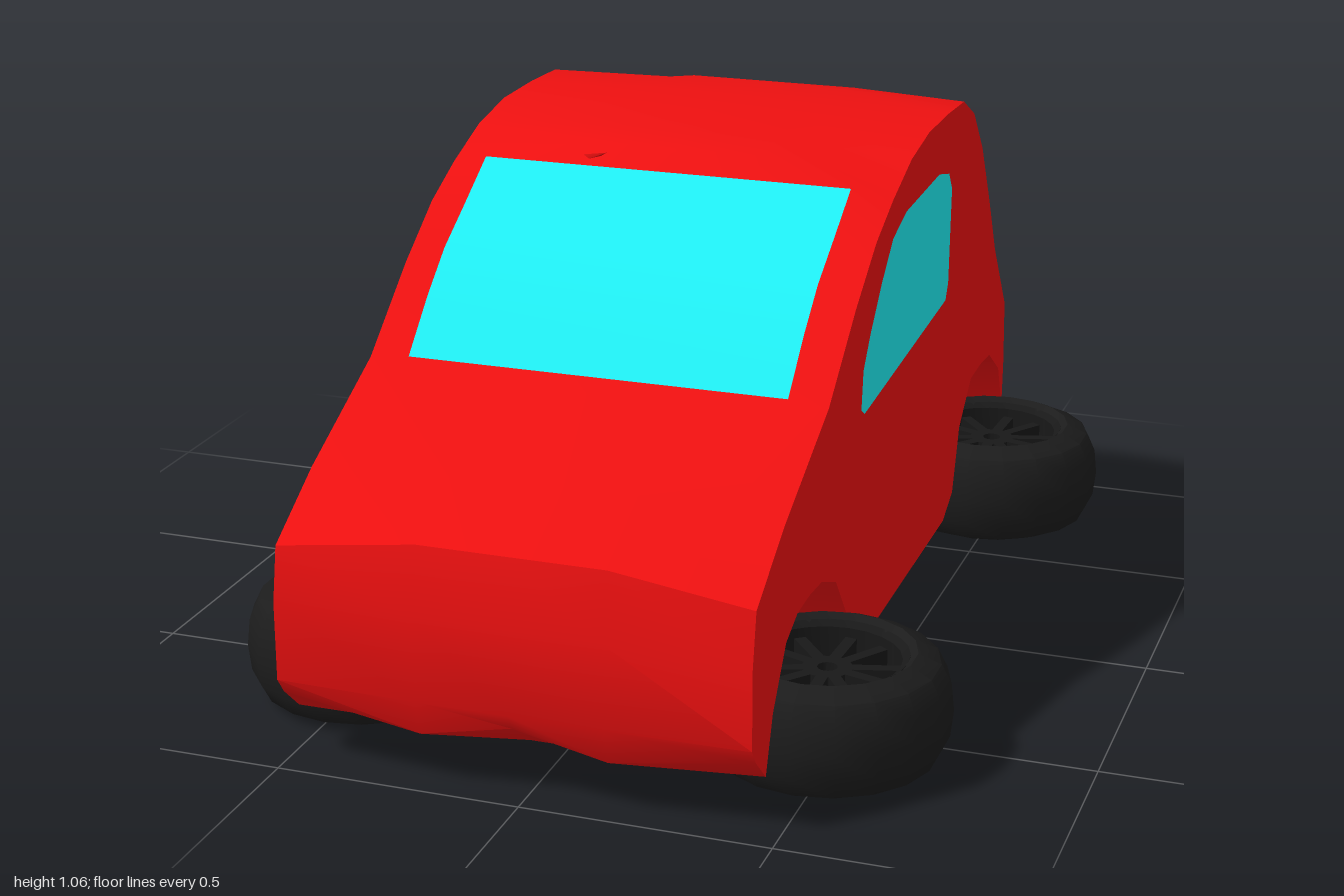
import * as THREE from 'three';
import { mergeGeometries, toCreasedNormals } from 'three/addons/utils/BufferGeometryUtils.js';

const X0 = -0.5, X1 = 0.455, MID = (X0 + X1) / 2;

// Body profile, each row: [z, y] at the flanks, then [z, y] at the middle
const PROFILE = [
  [0.96, 0.145, 0.97, 0.105], [0.985, 0.18, 0.99, 0.18], [0.985, 0.34, 1.0, 0.36], [0.965, 0.45, 0.965, 0.49],
  [0.8, 0.55, 0.8, 0.57], [0.52, 0.685, 0.52, 0.69], [0.34, 0.83, 0.34, 0.835], [0.2, 0.925, 0.19, 0.94],
  [0.08, 0.98, 0.05, 1.04], [-0.06, 1.03, -0.06, 1.05], [-0.2, 1.053, -0.2, 1.062], [-0.36, 1.055, -0.36, 1.062],
  [-0.5, 1.05, -0.5, 1.055], [-0.6, 1.0, -0.63, 1.03], [-0.69, 0.9, -0.72, 0.91], [-0.78, 0.75, -0.79, 0.77],
  [-0.85, 0.62, -0.86, 0.62], [-0.975, 0.45, -0.99, 0.46], [-0.985, 0.3, -1.0, 0.3], [-0.98, 0.19, -0.99, 0.17],
  // rear wheel arch
  [-0.93, 0.3, -0.95, 0.24], [-0.83, 0.365, -0.86, 0.31], [-0.74, 0.37, -0.74, 0.36], [-0.65, 0.365, -0.63, 0.31],
  [-0.55, 0.28, -0.54, 0.24], [-0.5, 0.14, -0.5, 0.13], [-0.42, 0.1, -0.42, 0.1],
  // floor
  [0.3, 0.085, 0.32, 0.078],
  // front wheel arch
  [0.37, 0.2, 0.4, 0.17], [0.45, 0.3, 0.47, 0.26], [0.55, 0.34, 0.56, 0.335], [0.63, 0.345, 0.64, 0.34],
  [0.71, 0.34, 0.73, 0.31], [0.78, 0.31, 0.79, 0.24], [0.86, 0.2, 0.84, 0.15], [0.9, 0.09, 0.88, 0.08],
];

// Flat outline of [z, y] points facing +x (dir 1) or -x (dir -1)
function sidePanel(points, x, dir) {
  const shape = new THREE.Shape(points.map(([z, y]) => new THREE.Vector2(-dir * z, y)));
  return new THREE.ShapeGeometry(shape, 8).rotateY(dir * Math.PI / 2).translate(x, 0, 0);
}

// Skin through rows of points; rows run along x
function skin(rows, closed) {
  const n = rows[0].length, index = [];
  for (let i = 0; i < rows.length - 1; i++) {
    for (let j = 0; j < (closed ? n : n - 1); j++) {
      const k = (j + 1) % n, a = i * n, b = a + n;
      index.push(a + j, b + j, a + k, b + j, b + k, a + k);
    }
  }
  const geo = new THREE.BufferGeometry();
  geo.setAttribute('position', new THREE.Float32BufferAttribute(rows.flat(2), 3));
  geo.setIndex(index);
  return toCreasedNormals(geo, 0.6);
}

function bodyGeometry() {
  const rows = [X0, -0.21, MID, 0.17, X1].map((x, i) => PROFILE.map(([z, y, zm, ym], j) => {
    if (i === 0 || i === 4) return [x, y, z];
    return [x, i === 2 && j === 0 ? 0.145 : ym, zm]; // notch in the front lip
  }));
  const caps = [[X0, -1], [X1, 1]].map(([x, d]) => {
    const cap = sidePanel(PROFILE, x, d).toNonIndexed();
    cap.deleteAttribute('uv');
    return cap;
  });
  return mergeGeometries([skin(rows, true), ...caps]);
}

// Wheel lying flat, hub axis vertical
function createWheel(rubber, metal) {
  const wheel = new THREE.Group();
  const add = (geo, mat, name) => {
    const mesh = new THREE.Mesh(geo, mat);
    mesh.name = name;
    wheel.add(mesh);
    return mesh;
  };
  const lathe = (pts, sides) => toCreasedNormals(
    new THREE.LatheGeometry(pts.map(p => new THREE.Vector2(...p)), sides), 0.7);
  add(lathe([[0.155, 0.015], [0.175, 0], [0.22, 0.02], [0.24, 0.06], [0.246, 0.115], [0.24, 0.17],
    [0.22, 0.21], [0.175, 0.23], [0.155, 0.215]], 18), rubber, 'tyre');
  add(lathe([[0.145, 0.02], [0.16, 0.01], [0.16, 0.22], [0.145, 0.21], [0.145, 0.02]], 24), metal, 'rim');
  add(lathe([[0.02, 0.04], [0.05, 0.04], [0.05, 0.19], [0.02, 0.19], [0.02, 0.04]], 16), metal, 'hub');
  // five pairs of spokes
  for (let i = 0; i < 10; i++) {
    const angle = Math.floor(i / 2) * Math.PI * 0.4 + (i % 2 ? 0.27 : -0.27);
    const spoke = add(new THREE.BoxGeometry(0.115, 0.15, 0.024).translate(0.095, 0.115, 0), metal, 'spoke');
    spoke.rotation.y = angle;
  }
  return wheel;
}

export function createModel() {
  const model = new THREE.Group();
  model.name = 'car';
  const paint = new THREE.MeshStandardMaterial({ color: 0xee1010, side: THREE.DoubleSide });
  const glass = new THREE.MeshStandardMaterial({ color: 0x20f0f5, side: THREE.DoubleSide });
  const rubber = new THREE.MeshStandardMaterial({ color: 0x1c1c1c, side: THREE.DoubleSide });
  const metal = new THREE.MeshStandardMaterial({ color: 0x181818, side: THREE.DoubleSide });
  const add = (geo, mat, name) => {
    const mesh = new THREE.Mesh(geo, mat);
    mesh.name = name;
    model.add(mesh);
    return mesh;
  };

  add(bodyGeometry(), paint, 'body');

  // Windscreen, slightly proud of the body
  const screen = [[0.52, 0.692], [0.42, 0.79], [0.33, 0.865], [0.22, 0.93], [0.105, 1.0]];
  add(skin([-0.415, 0.375].map(x => screen.map(([z, y]) => [x, y + 0.004, z + 0.004])), false), glass, 'windscreen');

  // Side windows
  const pane = [[0.295, 0.605], [0.27, 0.59], [-0.375, 0.635], [-0.395, 0.67], [-0.405, 0.88], [-0.375, 0.92],
    [-0.29, 0.94], [-0.02, 0.93], [0.08, 0.9], [0.16, 0.83], [0.24, 0.745], [0.285, 0.685]];
  add(sidePanel(pane, X0 - 0.002, -1), glass, 'rightWindow');
  add(sidePanel(pane, X1 + 0.002, 1), glass, 'leftWindow');

  // Small fin above the windscreen
  const fin = add(new THREE.ConeGeometry(0.02, 0.09, 4), paint, 'roofFin');
  fin.position.set(-0.2, 1.01, 0.08);
  fin.rotation.z = -1.2;

  // Wheels
  for (const [z, end] of [[0.605, 'front'], [-0.755, 'rear']]) {
    for (const side of [1, -1]) {
      const wheel = createWheel(rubber, metal);
      wheel.name = end + (side > 0 ? 'LeftWheel' : 'RightWheel');
      wheel.position.set(side * 0.485, 0, z);
      if (side < 0) wheel.rotation.y = Math.PI;
      model.add(wheel);
    }
  }
  return model;
}
